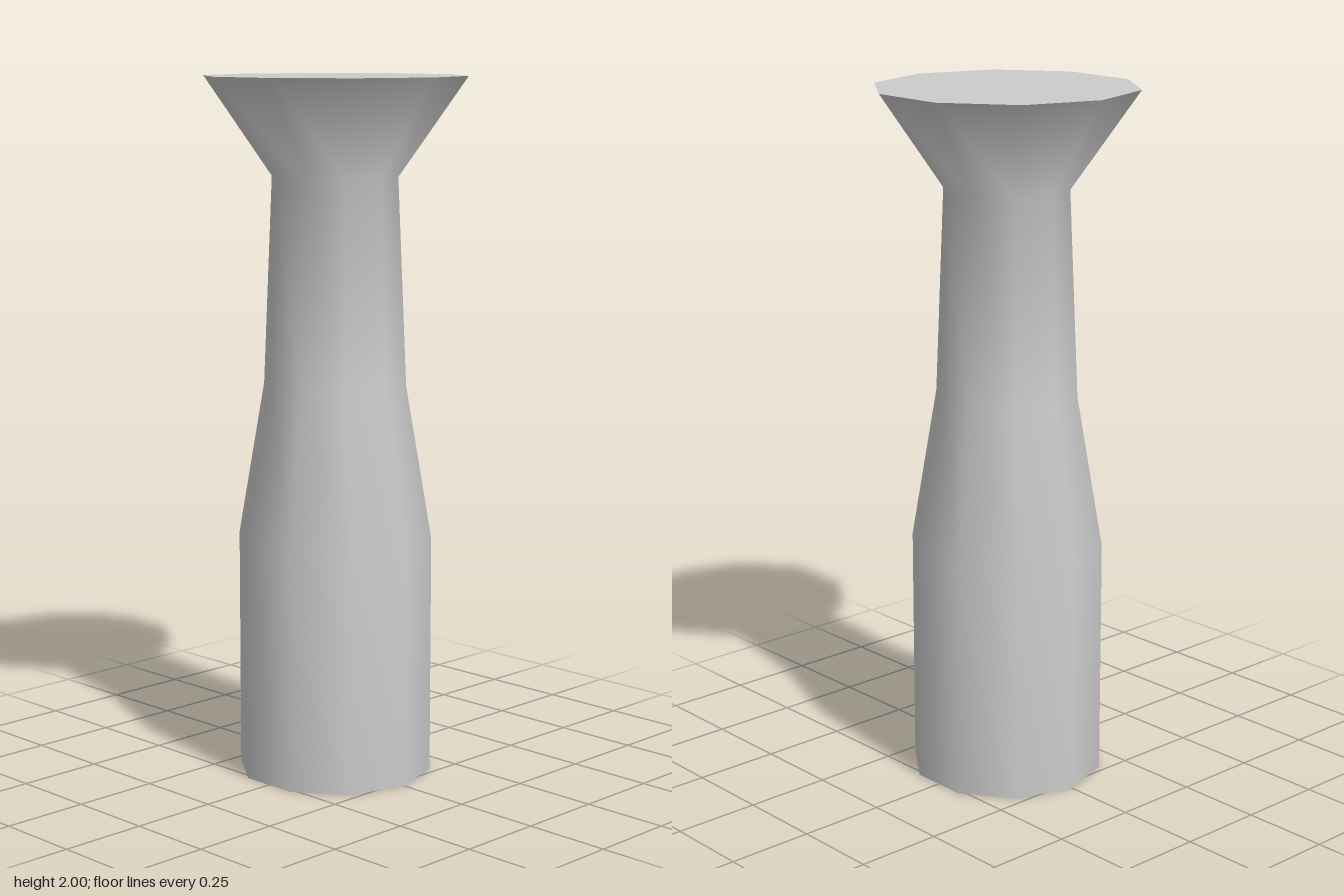
import * as THREE from 'three';

const SIDES = 10;

export function createModel() {
  const group = new THREE.Group();
  const material = new THREE.MeshStandardMaterial({ color: 0xcccccc, side: THREE.DoubleSide });

  // Ten-sided body: straight base, tapering neck, flared head; open underneath
  const profile = [[0.28, 0], [0.28, 0.69], [0.205, 1.13], [0.18, 1.72], [0.375, 2]]
    .map(([r, y]) => new THREE.Vector2(r, y));
  const body = new THREE.Mesh(new THREE.LatheGeometry(profile, SIDES, Math.PI / 2), material);
  body.name = 'body';
  group.add(body);

  // Flat lid closing the flared head
  const lid = new THREE.Mesh(new THREE.CircleGeometry(0.375, SIDES).rotateX(-Math.PI / 2), material);
  lid.name = 'topCap';
  lid.position.y = 2;
  group.add(lid);

  return group;
}
